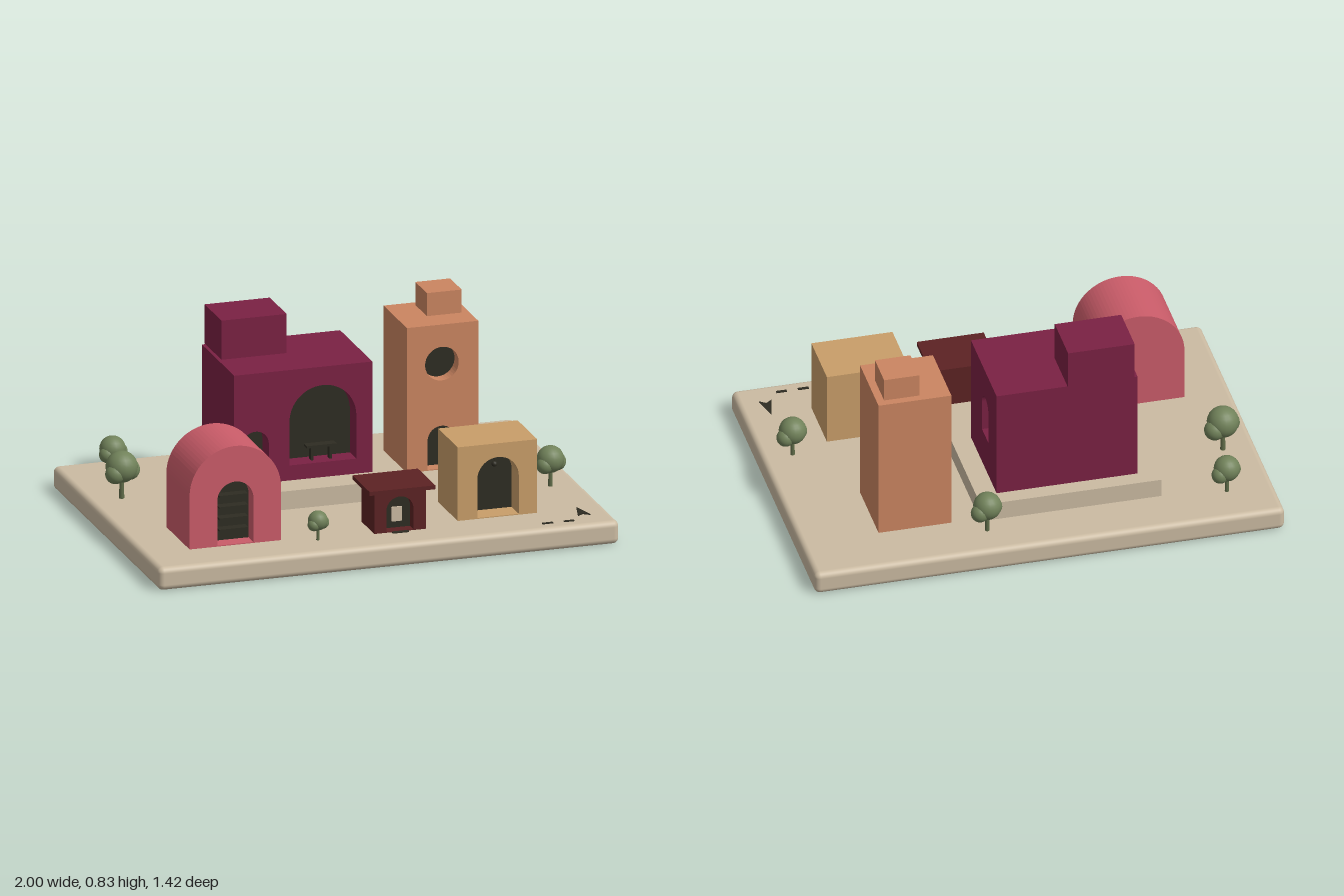
import * as THREE from 'three';
import { RoundedBoxGeometry } from 'three/addons/geometries/RoundedBoxGeometry.js';

const mat = (name, color) => {
  const m = new THREE.MeshStandardMaterial({ color });
  m.name = name;
  return m;
};

export function createModel() {
  const root = new THREE.Group();
  root.name = 'villageBoard';
  const sand = mat('sand', 0xcbbba2), plum = mat('plum', 0x7a2143), rose = mat('rose', 0xca5c69);
  const clay = mat('clay', 0xcb8561), ochre = mat('ochre', 0xc99e69), brown = mat('brown', 0x5c2223);
  const dark = mat('dark', 0x2e2c22), leaf = mat('leaf', 0x71825a), bark = mat('bark', 0x5f6b48);

  const add = (parent, name, geometry, material, x = 0, y = 0, z = 0) => {
    const m = new THREE.Mesh(geometry, material);
    m.name = name;
    m.position.set(x, y, z);
    parent.add(m);
    return m;
  };
  const group = (name) => {
    const g = new THREE.Group();
    g.name = name;
    root.add(g);
    return g;
  };
  // Box given by its limits on each axis
  const block = (parent, name, material, [x0, x1], [y0, y1], [z0, z1]) =>
    add(parent, name, new THREE.BoxGeometry(x1 - x0, y1 - y0, z1 - z0), material,
      (x0 + x1) / 2, (y0 + y1) / 2, (z0 + z1) / 2);

  const rect = ([x0, x1], [y0, y1]) => new THREE.Shape()
    .moveTo(x0, y0).lineTo(x1, y0).lineTo(x1, y1).lineTo(x0, y1).closePath();
  const arch = ([x0, x1], [y0, y1]) => {
    const r = (x1 - x0) / 2;
    return new THREE.Shape().moveTo(x0, y0).lineTo(x1, y0).lineTo(x1, y1 - r)
      .absarc((x0 + x1) / 2, y1 - r, r, 0, Math.PI, false).closePath();
  };
  const round = (x, y, r) => new THREE.Shape().absarc(x, y, r, 0, Math.PI * 2, false);
  const extrude = (shape, depth) =>
    new THREE.ExtrudeGeometry(shape, { depth, bevelEnabled: false, curveSegments: 20 });

  // Wall slab with deep openings, each closed by a thin dark panel at the back
  const wall = (parent, name, material, outline, holes, depth) => {
    const g = new THREE.Group();
    g.name = name;
    outline.holes = holes;
    add(g, name + 'Slab', extrude(outline, depth), material);
    holes.forEach((h) => add(g, 'openingPanel', extrude(h, 0.004), dark));
    parent.add(g);
    return g;
  };

  // Block house: core, front wall and right wall; u on the right wall runs along -z
  const house = (parent, material, X, Y, Z, depth, frontHoles, sideHoles, frontOutline) => {
    const zIn = Z[1] - depth, xIn = X[1] - depth;
    block(parent, 'core', material, [X[0], xIn], Y, [Z[0], zIn]);
    wall(parent, 'frontWall', material, frontOutline || rect(X, Y), frontHoles, depth).position.z = zIn;
    const side = wall(parent, 'sideWall', material, rect([-zIn, -Z[0]], Y), sideHoles, depth);
    side.rotation.y = Math.PI / 2;
    side.position.x = xIn;
  };

  // Ground slab
  add(root, 'base', new RoundedBoxGeometry(2, 0.1, 1.42, 4, 0.025), sand, 0, 0.05, 0);

  // Terrace and its steps
  const terrace = group('terrace');
  block(terrace, 'plinth', sand, [-0.53, 0.24], [0.1, 0.18], [-0.49, 0.14]);
  for (let i = 0; i < 4; i++) {
    block(terrace, 'step', sand, [0.075, 0.22], [0.1, 0.164 - i * 0.016],
      [0.14 + i * 0.0425, 0.1825 + i * 0.0425]);
  }

  // Main hall with upper block and bench in the great arch
  const hall = group('mainHall');
  house(hall, plum, [-0.445, 0.155], [0.18, 0.66], [-0.42, 0.01], 0.09,
    [arch([-0.205, 0.085], [0.245, 0.58]), arch([-0.41, -0.295], [0.184, 0.407])],
    [arch([0.175, 0.285], [0.34, 0.53])]);
  block(hall, 'upperBlock', plum, [-0.43, -0.147], [0.66, 0.83], [-0.43, -0.205]);
  block(hall, 'benchSeat', dark, [-0.12, 0.01], [0.3, 0.31], [-0.06, -0.02]);
  for (const x of [-0.1, -0.02]) {
    block(hall, 'benchLeg', dark, [x, x + 0.01], [0.245, 0.3], [-0.055, -0.025]);
  }

  // Vaulted barn
  const barn = group('vaultedBarn');
  const bx = [-0.802, -0.405], br = (bx[1] - bx[0]) / 2, spring = 0.53 - br;
  house(barn, rose, bx, [0.1, spring], [0.2, 0.51], 0.07,
    [arch([-0.682, -0.525], [0.104, 0.375])], [arch([-0.395, -0.3], [0.165, 0.325])],
    arch(bx, [0.1, 0.53]));
  const vault = new THREE.Shape().absarc((bx[0] + bx[1]) / 2, spring, br, 0, Math.PI, false).closePath();
  add(barn, 'vault', extrude(vault, 0.24), rose, 0, 0, 0.2);
  for (let i = 0; i < 4; i++) {
    const y = 0.155 + i * 0.049;
    block(barn, 'shelf', dark, [-0.665, -0.54], [y, y + 0.008], [0.444, 0.485]);
  }

  // Tall tower
  const tower = group('tower');
  house(tower, clay, [0.36, 0.67], [0.1, 0.73], [-0.47, -0.16], 0.06,
    [arch([0.45, 0.57], [0.104, 0.29]), round(0.512, 0.56, 0.073)], []);
  block(tower, 'roofBlock', clay, [0.487, 0.638], [0.73, 0.83], [-0.437, -0.283]);

  // Small gatehouse with hanging lamp
  const gate = group('gatehouse');
  house(gate, ochre, [0.365, 0.71], [0.1, 0.42], [0.24, 0.5], 0.1,
    [arch([0.45, 0.63], [0.104, 0.36])], []);
  add(gate, 'lamp', new THREE.SphereGeometry(0.012, 12, 8), dark, 0.54, 0.315, 0.45);
  add(gate, 'lampCord', new THREE.CylinderGeometry(0.002, 0.002, 0.04, 6), dark, 0.54, 0.342, 0.45);

  // Kiosk with overhanging roof
  const kiosk = group('kiosk');
  house(kiosk, brown, [-0.015, 0.21], [0.1, 0.28], [0.385, 0.555], 0.05,
    [arch([0.037, 0.155], [0.104, 0.252])], [rect([-0.485, -0.425], [0.15, 0.23])]);
  block(kiosk, 'roof', brown, [-0.045, 0.24], [0.278, 0.295], [0.355, 0.585]);
  block(kiosk, 'noticePlate', sand, [0.073, 0.117], [0.133, 0.195], [0.51, 0.518]);
  block(kiosk, 'doorMat', dark, [0.06, 0.13], [0.1, 0.104], [0.557, 0.575]);

  // Trees: x, z, scale
  const trees = [[-0.8, -0.52, 0.82], [-0.86, -0.215, 1], [0.23, -0.56, 0.88],
    [0.87, 0.185, 0.86], [-0.26, 0.555, 0.62]];
  const puff = new THREE.SphereGeometry(1, 20, 14);
  for (const [x, z, s] of trees) {
    const t = group('tree');
    t.position.set(x, 0.1, z);
    t.scale.setScalar(s);
    add(t, 'trunk', new THREE.CylinderGeometry(0.008, 0.011, 0.12, 10), bark, 0, 0.06, 0);
    for (const [px, py, pz, r] of [[0, 0.137, 0, 0.067], [0.04, 0.115, -0.02, 0.044], [-0.035, 0.115, 0.022, 0.042]]) {
      add(t, 'foliage', puff, leaf, px, py, pz).scale.setScalar(r);
    }
  }

  // North arrow and scale marks on the ground
  const arrow = new THREE.Shape().moveTo(0, 0.06).lineTo(-0.027, -0.045).lineTo(0, -0.025)
    .lineTo(0.027, -0.045).closePath();
  add(root, 'arrow', extrude(arrow, 0.004), dark, 0.883, 0.1, 0.55).rotation.x = -Math.PI / 2;
  for (const x of [0.685, 0.778]) {
    block(root, 'scaleMark', dark, [x, x + 0.045], [0.1, 0.104], [0.64, 0.652]);
  }
  return root;
}
